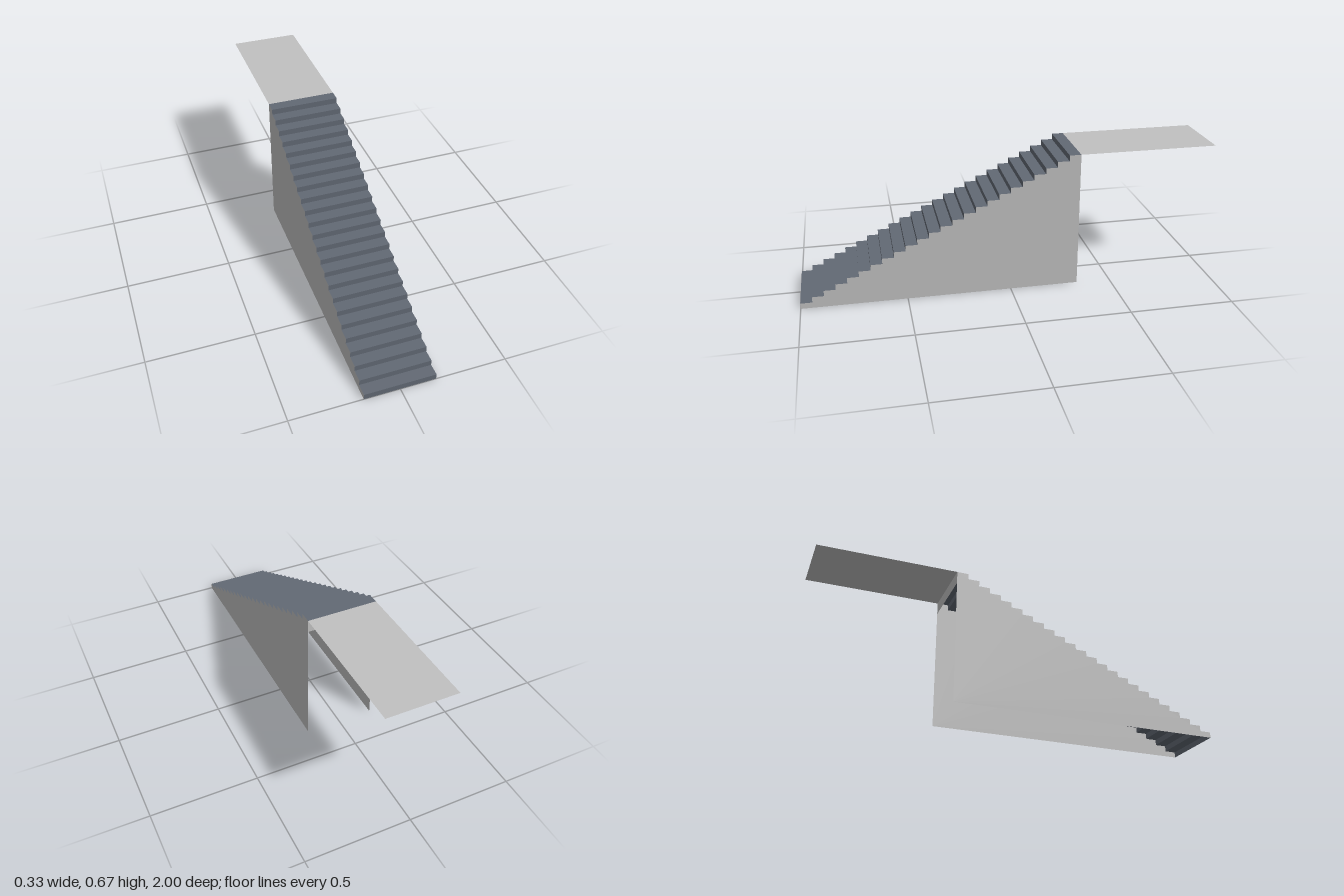
import * as THREE from 'three';
import { mergeGeometries } from 'three/addons/utils/BufferGeometryUtils.js';

const STEPS = 24, WIDTH = 1 / 3, RISE = 2 / 3 / STEPS, RUN = 4 / 3 / STEPS;
const TOP = STEPS * RISE, FRONT = 1, BACK = FRONT - STEPS * RUN;

export function createModel() {
  const model = new THREE.Group();
  model.name = 'staircase';

  const slate = new THREE.MeshStandardMaterial({ color: 0x626974, side: THREE.DoubleSide });
  slate.name = 'slate steps';
  const grey = new THREE.MeshStandardMaterial({ color: 0xc0c0c0, side: THREE.DoubleSide });
  grey.name = 'light grey panels';

  const add = (name, geometry, material) => {
    const mesh = new THREE.Mesh(geometry, material);
    mesh.name = name;
    model.add(mesh);
    return mesh;
  };
  // upright and flat sheets spanning the stair width
  const upright = (height, y, z) => new THREE.PlaneGeometry(WIDTH, height).translate(0, y, z);
  const flat = (depth, y, z) =>
    new THREE.PlaneGeometry(WIDTH, depth).rotateX(-Math.PI / 2).translate(0, y, z);

  // open folded steps, plus the stepped outline (z, y) of the side walls
  const risers = [], treads = [];
  const outline = new THREE.Shape();
  outline.moveTo(BACK, 0);
  outline.lineTo(FRONT, 0);
  for (let i = 0; i < STEPS; i++) {
    const z = FRONT - i * RUN, y = (i + 1) * RISE;
    risers.push(upright(RISE, y - RISE / 2, z));
    treads.push(flat(RUN, y, z - RUN / 2));
    outline.lineTo(z, y);
    outline.lineTo(z - RUN, y);
  }
  outline.closePath();
  add('risers', mergeGeometries(risers), slate);
  add('treads', mergeGeometries(treads), slate);

  // thin side walls, each facing outward
  for (const side of [-1, 1]) {
    const wall = new THREE.ShapeGeometry(outline).rotateY(-Math.PI / 2);
    if (side > 0) {
      // reverse the winding and normals for the left wall
      wall.index.array.reverse();
      const n = wall.attributes.normal;
      for (let i = 0; i < n.count; i++) n.setX(i, -n.getX(i));
    }
    wall.translate(side * WIDTH / 2, 0, 0);
    add(side > 0 ? 'leftWall' : 'rightWall', wall, grey);
  }

  // landing sheet behind the top step and the narrow strip below its edge
  const depth = BACK + 1, strip = 0.06;
  add('landing', flat(depth, TOP, BACK - depth / 2), grey);
  add('backStrip',
    new THREE.PlaneGeometry(WIDTH, strip).rotateY(Math.PI).translate(0, TOP - strip / 2, BACK), grey);

  return model;
}
